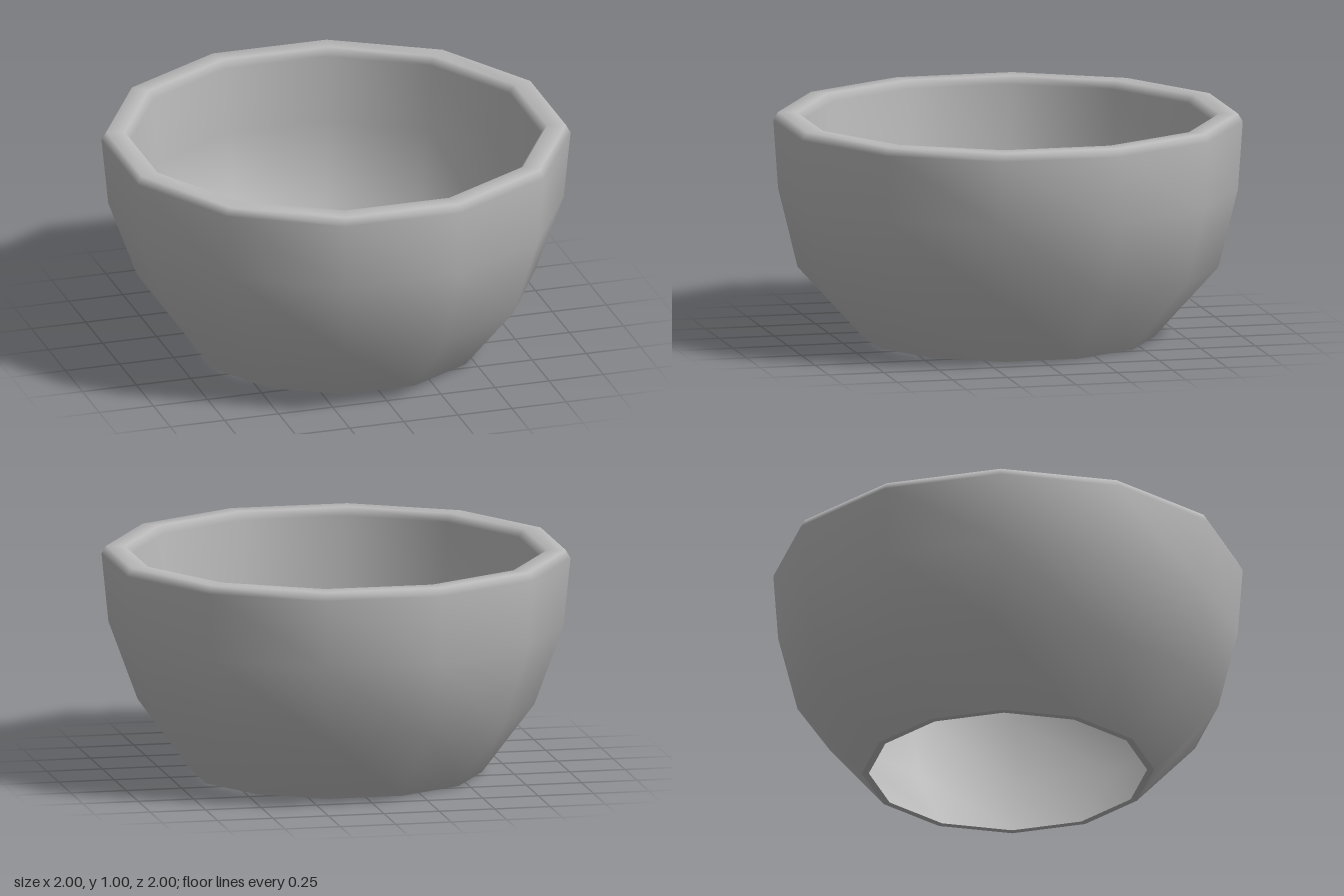
import * as THREE from 'three';
import { mergeVertices } from 'three/addons/utils/BufferGeometryUtils.js';

const SIDES = 12;
const CORNER = 1 / Math.cos(Math.PI / SIDES); // half-width to corner radius

// Turns rings of [half-width x, y, half-depth z] into a smooth twelve-sided wall.
function ringWall(rings) {
  const points = rings.map(([x, y]) => new THREE.Vector2(x * CORNER, y));
  const lathe = new THREE.LatheGeometry(points, SIDES, Math.PI / SIDES);
  const pos = lathe.attributes.position;
  for (let i = 0; i < pos.count; i++) {
    const [x, , z] = rings[i % rings.length];
    pos.setZ(i, pos.getZ(i) * z / x);
  }
  lathe.deleteAttribute('uv');
  lathe.deleteAttribute('normal');
  const geometry = mergeVertices(lathe, 1e-4);
  geometry.computeVertexNormals();
  return geometry;
}

export function createModel() {
  const group = new THREE.Group();
  group.name = 'bowl';
  const grey = new THREE.MeshStandardMaterial({ color: 0xbababa });
  grey.name = 'grey';

  const add = (name, rings) => {
    const mesh = new THREE.Mesh(ringWall(rings), grey);
    mesh.name = name;
    group.add(mesh);
  };

  // Outer wall, rounded rim and inner wall in one continuous skin
  add('bowlWall', [
    [0.623, 0, 0.623],
    [0.843, 0.31, 0.9],
    [0.97, 0.66, 0.98],
    [1, 0.965, 1],
    [0.98, 1, 0.98],
    [0.9, 1, 0.9],
    [0.875, 0.965, 0.875],
    [0.855, 0.66, 0.865],
    [0.785, 0.32, 0.835],
    [0.593, 0, 0.593],
  ]);

  // Narrow foot closing the wall around the open bottom
  add('footRing', [
    [0.593, 0, 0.593],
    [0.623, 0, 0.623],
  ]);

  return group;
}
